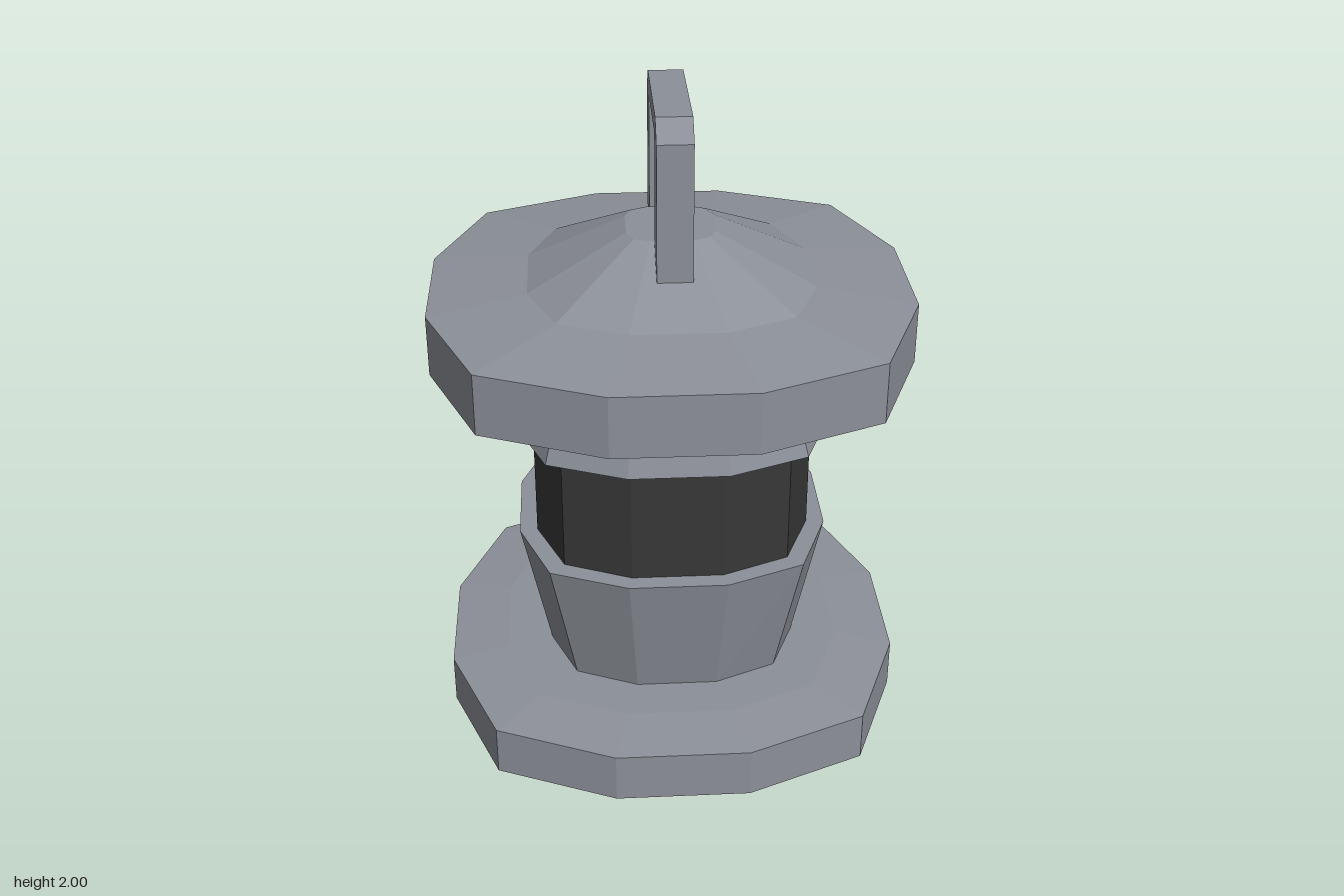
import * as THREE from 'three';

const metal = new THREE.MeshStandardMaterial({ color: 0x8c9098, flatShading: true });
metal.name = 'greyMetal';
const dark = new THREE.MeshStandardMaterial({ color: 0x383838, flatShading: true });
dark.name = 'darkGlass';

// Twelve corners of a squared-off ring: [half width, y, diagonal corner, half of the flat side]
function ringPoints([half, y, corner, flat]) {
  const points = [];
  for (let q = 0; q < 4; q++) {
    for (const [x, z] of [[half, -flat], [corner, -corner], [flat, -half]]) {
      const p = new THREE.Vector3(x, y, z);
      for (let k = 0; k < q; k++) p.set(p.z, y, -p.x);
      points.push(p);
    }
  }
  return points;
}

// Stack of rings listed from bottom to top, closed at both ends
function stackedRings(name, rings, material) {
  const loops = rings.map(ringPoints);
  const corners = [];
  const last = loops.length - 1;
  const bottom = new THREE.Vector3(0, rings[0][1], 0);
  const top = new THREE.Vector3(0, rings[last][1], 0);
  for (let i = 0; i < 12; i++) {
    const j = (i + 1) % 12;
    corners.push(bottom, loops[0][j], loops[0][i]);
    for (let r = 0; r < last; r++) {
      const a = loops[r], b = loops[r + 1];
      corners.push(a[i], a[j], b[j], a[i], b[j], b[i]);
    }
    corners.push(top, loops[last][i], loops[last][j]);
  }
  const geometry = new THREE.BufferGeometry().setFromPoints(corners);
  geometry.computeVertexNormals();
  const mesh = new THREE.Mesh(geometry, material);
  mesh.name = name;
  return mesh;
}

// Square-section carrying loop with chamfered shoulders
function makeHandle() {
  const outline = [
    [-0.27, 1.5], [-0.16, 1.5], [-0.16, 1.94], [0.16, 1.94], [0.16, 1.5],
    [0.27, 1.5], [0.27, 1.94], [0.21, 2], [-0.21, 2], [-0.27, 1.94],
  ].map(([x, y]) => new THREE.Vector2(x, y));
  const geometry = new THREE.ExtrudeGeometry(new THREE.Shape(outline), { depth: 0.106, bevelEnabled: false });
  geometry.translate(0, 0, -0.053).rotateY(Math.PI / 2);
  const mesh = new THREE.Mesh(geometry, metal);
  mesh.name = 'handle';
  return mesh;
}

export function createModel() {
  const lantern = new THREE.Group();
  lantern.name = 'lantern';
  lantern.add(
    stackedRings('base', [
      [0.72, 0, 0.57, 0.205], [0.72, 0.16, 0.57, 0.205], [0.54, 0.18, 0.43, 0.165],
    ], metal),
    stackedRings('lowerCup', [
      [0.395, 0.17, 0.315, 0.125], [0.485, 0.615, 0.39, 0.15],
    ], metal),
    stackedRings('lampGlass', [
      [0.43, 0.6, 0.345, 0.14], [0.43, 1.01, 0.345, 0.14],
    ], dark),
    stackedRings('upperCollar', [
      [0.485, 1, 0.39, 0.15], [0.42, 1.22, 0.338, 0.135],
    ], metal),
    stackedRings('roof', [
      [0.726, 1.215, 0.575, 0.208], [0.726, 1.405, 0.575, 0.208],
      [0.43, 1.44, 0.345, 0.14], [0.133, 1.595, 0.112, 0.065],
    ], metal),
    makeHandle(),
  );
  return lantern;
}
